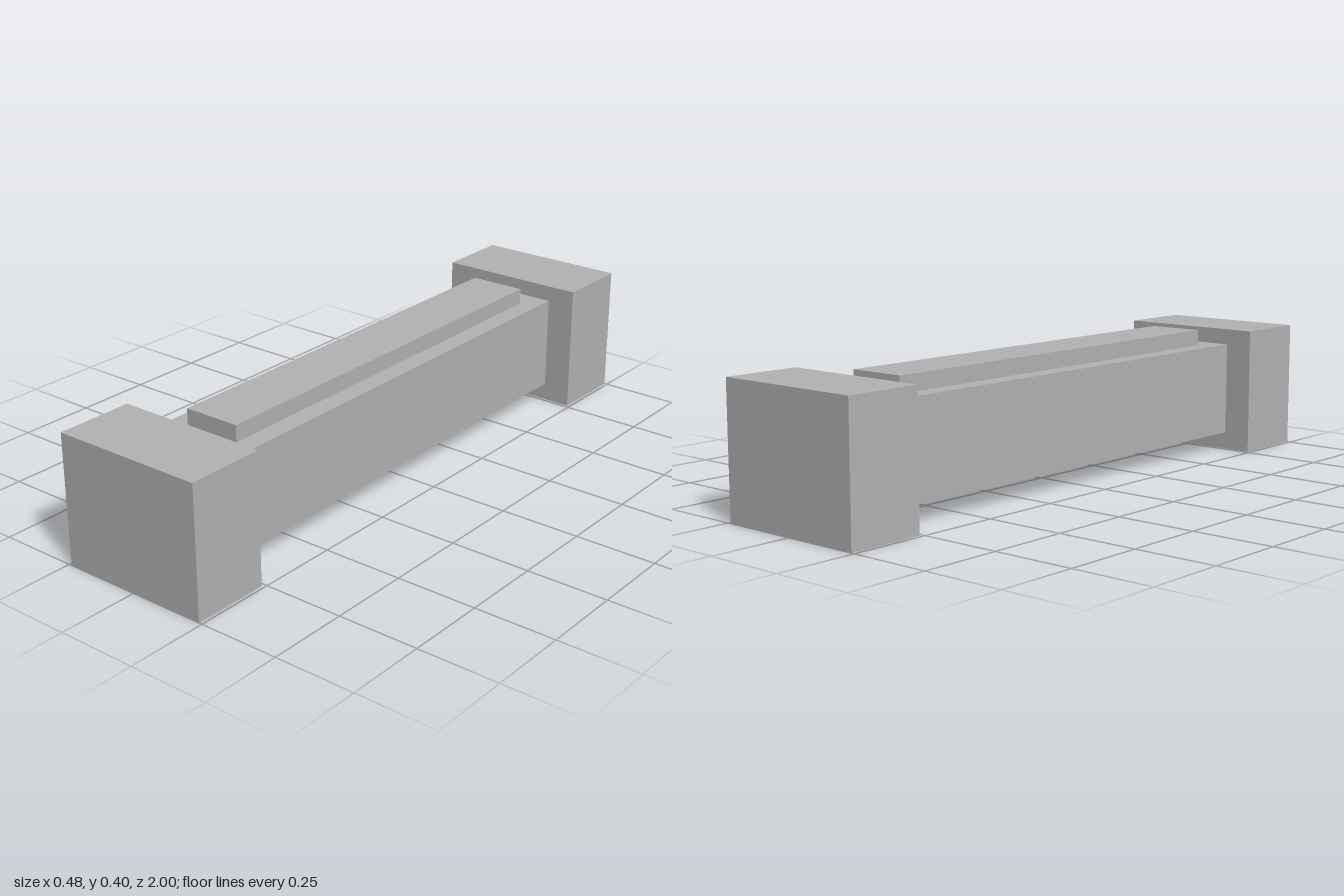
import * as THREE from 'three';

export function createModel() {
  const group = new THREE.Group();
  const gray = new THREE.MeshStandardMaterial({ color: 0xb2b2b2 });
  gray.name = 'plain gray';

  // Box given by its size, its bottom height and its z centre
  function addBox(name, width, height, depth, bottom, z = 0) {
    const mesh = new THREE.Mesh(new THREE.BoxGeometry(width, height, depth), gray);
    mesh.name = name;
    mesh.position.set(0, bottom + height / 2, z);
    group.add(mesh);
  }

  // Long beam between the end blocks
  addBox('beam', 0.3, 0.295, 1.52, 0.055);

  // Raised strip along the top of the beam
  addBox('topStrip', 0.18, 0.05, 1.36, 0.35);

  // Matching end blocks
  for (const side of [1, -1]) {
    addBox(side > 0 ? 'frontBlock' : 'backBlock', 0.48, 0.4, 0.24, 0, side * 0.88);
  }

  return group;
}
